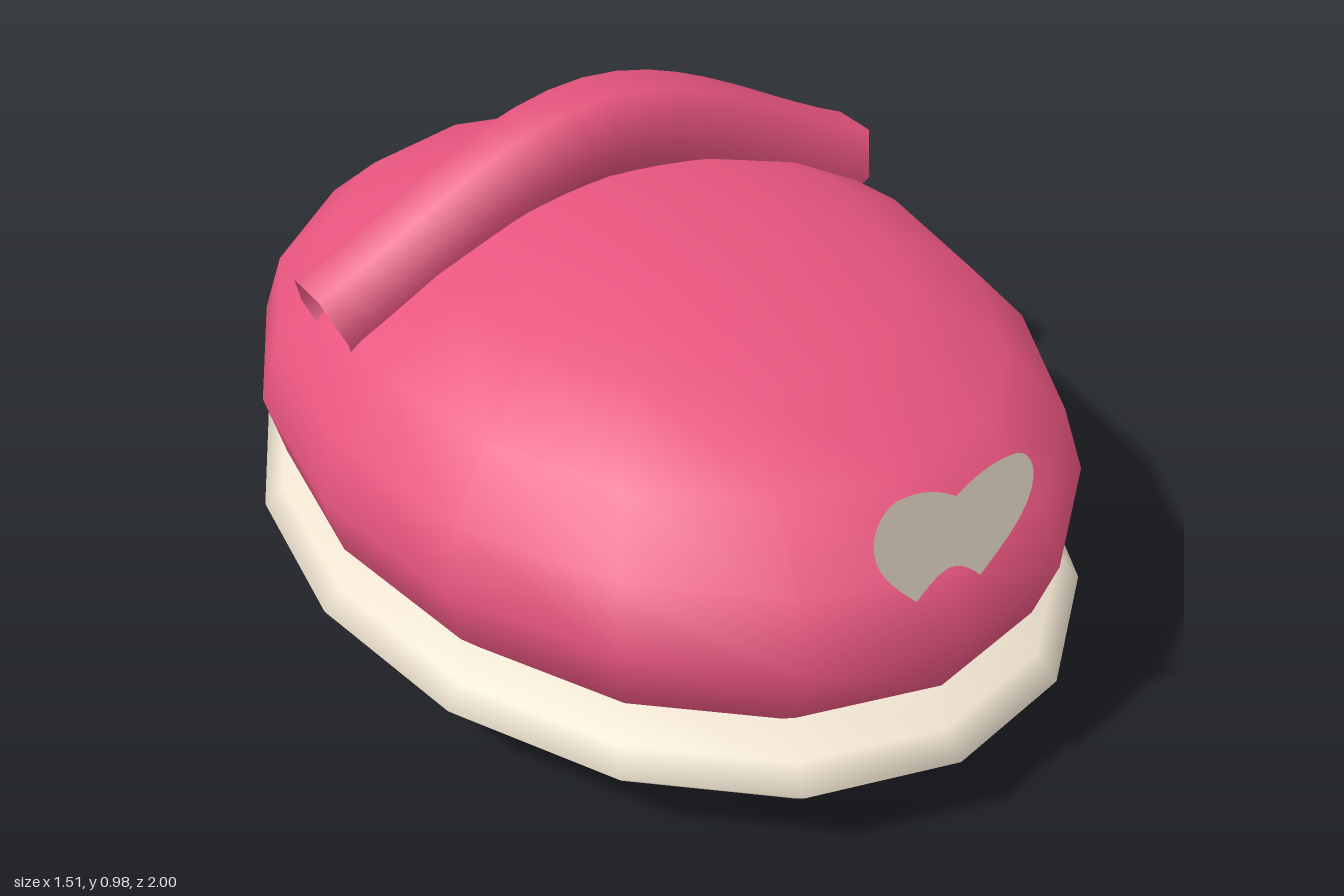
import * as THREE from 'three';

const pink = new THREE.MeshStandardMaterial({ color: 0xe8557f, side: THREE.DoubleSide });
const cream = new THREE.MeshStandardMaterial({ color: 0xeee2cf, side: THREE.DoubleSide });

function addMesh(group, name, geometry, material) {
  const mesh = new THREE.Mesh(geometry, material);
  mesh.name = name;
  group.add(mesh);
  return mesh;
}

// Low-poly ellipsoid with smooth normals
function ellipsoid(rx, ry, rz, y) {
  return new THREE.SphereGeometry(1, 16, 10).scale(rx, ry, rz).translate(0, y, 0);
}

export function createModel() {
  const group = new THREE.Group();
  group.name = 'slipper';

  // Puffy body and the flattened sole it sinks through
  addMesh(group, 'body', ellipsoid(0.737, 0.41, 0.98, 0.412), pink);
  addMesh(group, 'sole', ellipsoid(0.753, 0.136, 1.0, 0.157), cream);

  // Hexagonal strap arching across the body
  const arch = new THREE.CatmullRomCurve3([
    new THREE.Vector3(-0.61, 0.655, -0.205),
    new THREE.Vector3(0, 0.9, -0.205),
    new THREE.Vector3(0.61, 0.655, -0.205),
  ]);
  addMesh(group, 'strap', new THREE.TubeGeometry(arch, 20, 0.1, 6, false), pink);

  // Flat heart ornament at the toe, with a notched lower edge
  const heart = new THREE.Shape();
  heart.moveTo(0, 0.695);
  heart.bezierCurveTo(0.06, 0.735, 0.09, 0.735, 0.12, 0.735);
  heart.bezierCurveTo(0.15, 0.735, 0.172, 0.7, 0.172, 0.665);
  heart.bezierCurveTo(0.172, 0.6, 0.12, 0.55, 0.07, 0.5);
  heart.bezierCurveTo(0.04, 0.53, 0.02, 0.545, 0, 0.545);
  heart.bezierCurveTo(-0.02, 0.545, -0.04, 0.53, -0.07, 0.5);
  heart.bezierCurveTo(-0.12, 0.55, -0.172, 0.6, -0.172, 0.665);
  heart.bezierCurveTo(-0.172, 0.7, -0.15, 0.735, -0.12, 0.735);
  heart.bezierCurveTo(-0.09, 0.735, -0.06, 0.735, 0, 0.695);
  addMesh(group, 'heart', new THREE.ShapeGeometry(heart, 8), cream).position.z = 0.93;

  return group;
}
